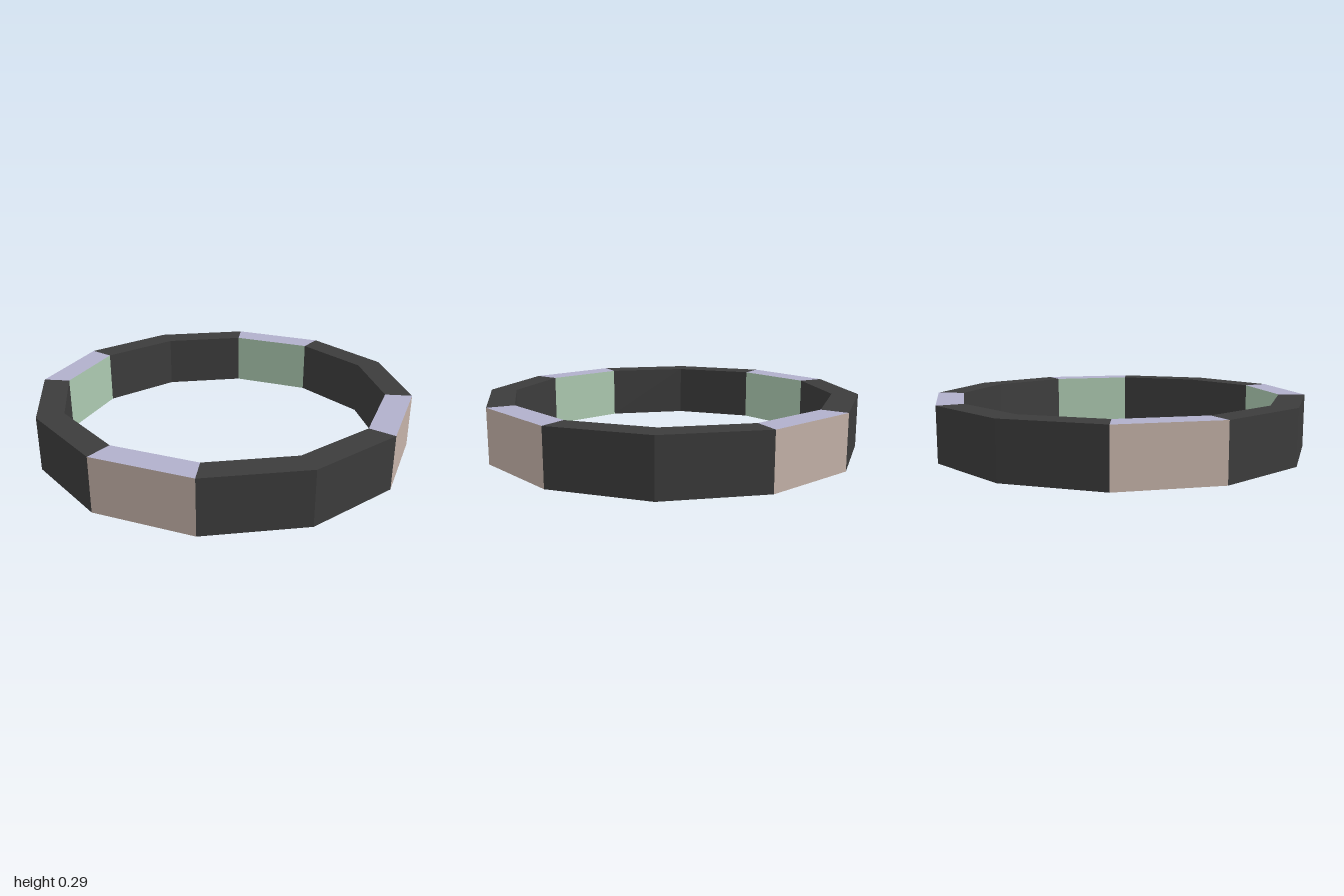
import * as THREE from 'three';

const SIDES = 12, HEIGHT = 0.295, OUTER = 1, INNER = 0.86; // radii to the flats

function material(name, color) {
  const m = new THREE.MeshStandardMaterial({ color });
  m.name = name;
  return m;
}

// One mitred block of the ring, facing +z, without its hidden end faces.
// Material slots: 0 top, 1 bottom, 2 outside, 3 inside.
function segmentGeometry() {
  const geo = new THREE.BoxGeometry(2, HEIGHT, OUTER - INNER);
  geo.translate(0, HEIGHT / 2, (OUTER + INNER) / 2);
  const pos = geo.attributes.position;
  const slope = Math.tan(Math.PI / SIDES);
  for (let i = 0; i < pos.count; i++) pos.setX(i, pos.getX(i) * pos.getZ(i) * slope);
  geo.setIndex(Array.from(geo.index.array).slice(12));
  geo.clearGroups();
  for (let i = 0; i < 4; i++) geo.addGroup(i * 6, 6, i);
  return geo;
}

export function createModel() {
  const dark = material('charcoal', 0x3c3c3c);
  const beige = material('beige', 0xc4b2a8);
  const lavender = material('lavender', 0xb1b0cb);
  const green = material('pale green', 0xacc9b0);

  const ring = new THREE.Group();
  ring.name = 'ring';
  const geo = segmentGeometry();

  // Every third block is an accent block
  for (let i = 0; i < SIDES; i++) {
    const accent = i % 3 === 2;
    const mats = accent ? [lavender, beige, beige, green] : [dark, dark, dark, dark];
    const block = new THREE.Mesh(geo, mats);
    block.name = accent ? 'accentSegment' : 'darkSegment';
    block.rotation.y = (i / SIDES) * Math.PI * 2;
    ring.add(block);
  }
  return ring;
}
